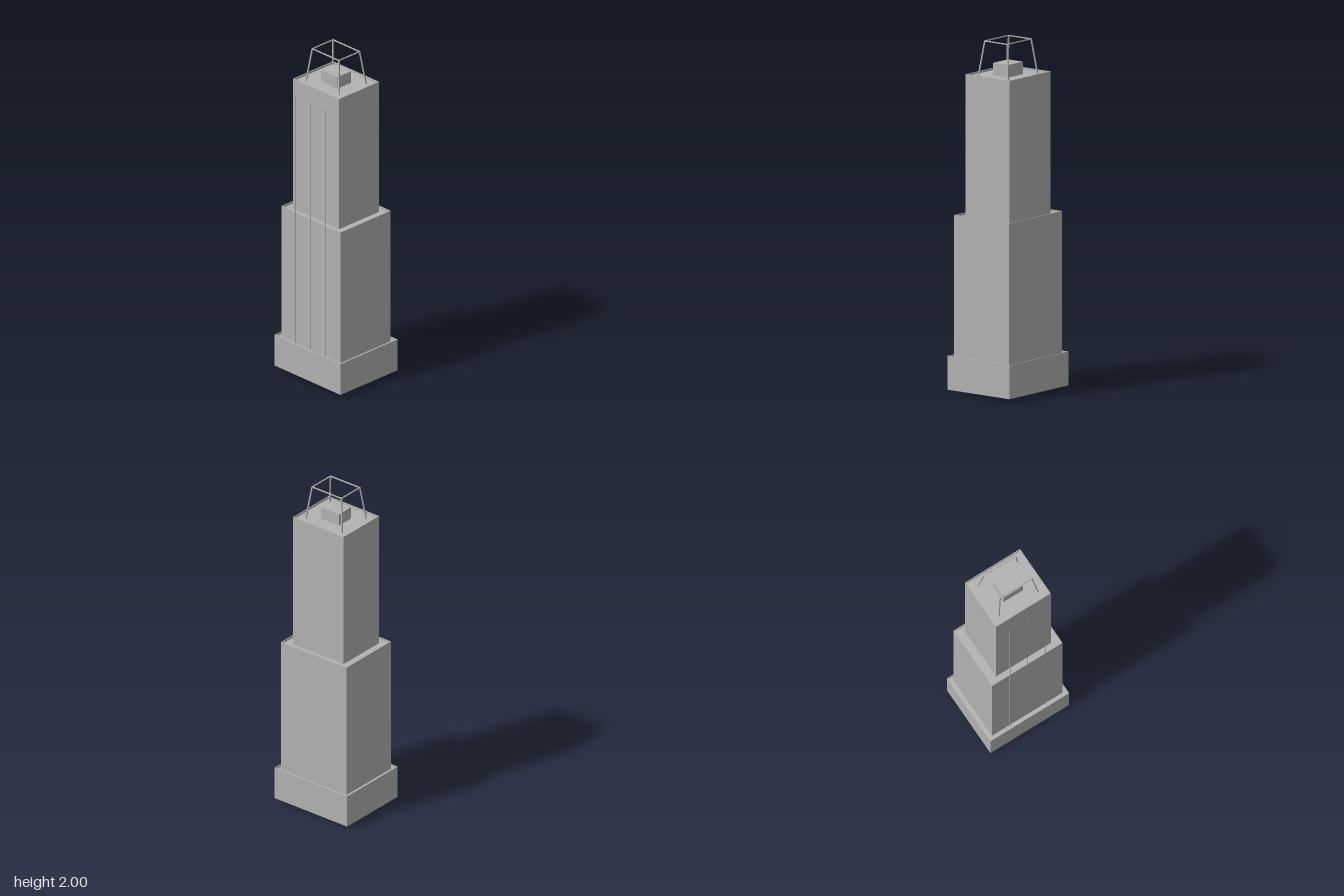
import * as THREE from 'three';

const concrete = new THREE.MeshStandardMaterial({ color: 0xb2b2b2 });
concrete.name = 'concreteGrey';

const CZ = -0.0015; // tower axis in z, offset by the slim front rods
const RIM = 0.012;  // parapet height above each roof

function add(parent, name, geometry, x = 0, y = 0, z = 0) {
  const mesh = new THREE.Mesh(geometry, concrete);
  mesh.name = name;
  mesh.position.set(x, y, z);
  parent.add(mesh);
  return mesh;
}

function rectangle(PathType, hx, hz) {
  return new PathType([
    [-hx, -hz], [hx, -hz], [hx, hz], [-hx, hz],
  ].map(([x, y]) => new THREE.Vector2(x, y)));
}

// Solid block with a thin parapet around its sunken roof
function tier(parent, name, hx, hz, bottom, top, wall) {
  const group = new THREE.Group();
  group.name = name;
  const height = top - RIM - bottom;
  add(group, name + 'Block', new THREE.BoxGeometry(hx * 2, height, hz * 2), 0, bottom + height / 2, CZ);
  const shape = rectangle(THREE.Shape, hx, hz);
  shape.holes.push(rectangle(THREE.Path, hx - wall, hz - wall));
  const rim = new THREE.ExtrudeGeometry(shape, { depth: RIM, bevelEnabled: false });
  rim.rotateX(-Math.PI / 2);
  add(group, name + 'Parapet', rim, 0, top - RIM, CZ);
  parent.add(group);
}

// Square bar between two points
function bar(parent, name, from, to, thickness) {
  const mesh = add(parent, name, new THREE.BoxGeometry(thickness, from.distanceTo(to), thickness));
  mesh.position.copy(from).lerp(to, 0.5);
  mesh.quaternion.setFromUnitVectors(new THREE.Vector3(0, 1, 0), to.clone().sub(from).normalize());
}

export function createModel() {
  const model = new THREE.Group();
  model.name = 'tower';

  // Stepped body
  tier(model, 'base', 0.263, 0.2235, 0.015, 0.208, 0.005);
  tier(model, 'middleTier', 0.236, 0.197, 0.19, 1.01, 0.005);
  tier(model, 'upperTier', 0.183, 0.158, 0.99, 1.81, 0.005);

  // Peg under the base
  add(model, 'footPeg', new THREE.CylinderGeometry(0.013, 0.013, 0.02, 12), 0, 0.01, CZ);

  // Rooftop plant room
  add(model, 'roofBox', new THREE.BoxGeometry(0.131, 0.08, 0.107), 0, 1.83, CZ);

  // Slim vertical rods on the front
  for (const x of [-0.118, 0, 0.118]) {
    add(model, 'frontRod', new THREE.BoxGeometry(0.003, 1.545, 0.003), x, 0.9675, 0.2);
  }

  // Open crown: four leaning legs carrying a rectangular frame
  const crown = new THREE.Group();
  crown.name = 'crown';
  for (const s of [-1, 1]) {
    for (const t of [-1, 1]) {
      bar(crown, 'crownLeg',
        new THREE.Vector3(s * 0.131, 1.797, t * 0.107 + CZ),
        new THREE.Vector3(s * 0.106, 1.997, t * 0.081 + CZ), 0.007);
    }
    add(crown, 'crownLongRail', new THREE.BoxGeometry(0.217, 0.006, 0.006), 0, 1.997, s * 0.081 + CZ);
    add(crown, 'crownShortRail', new THREE.BoxGeometry(0.006, 0.006, 0.167), s * 0.1055, 1.997, CZ);
  }
  model.add(crown);

  return model;
}
